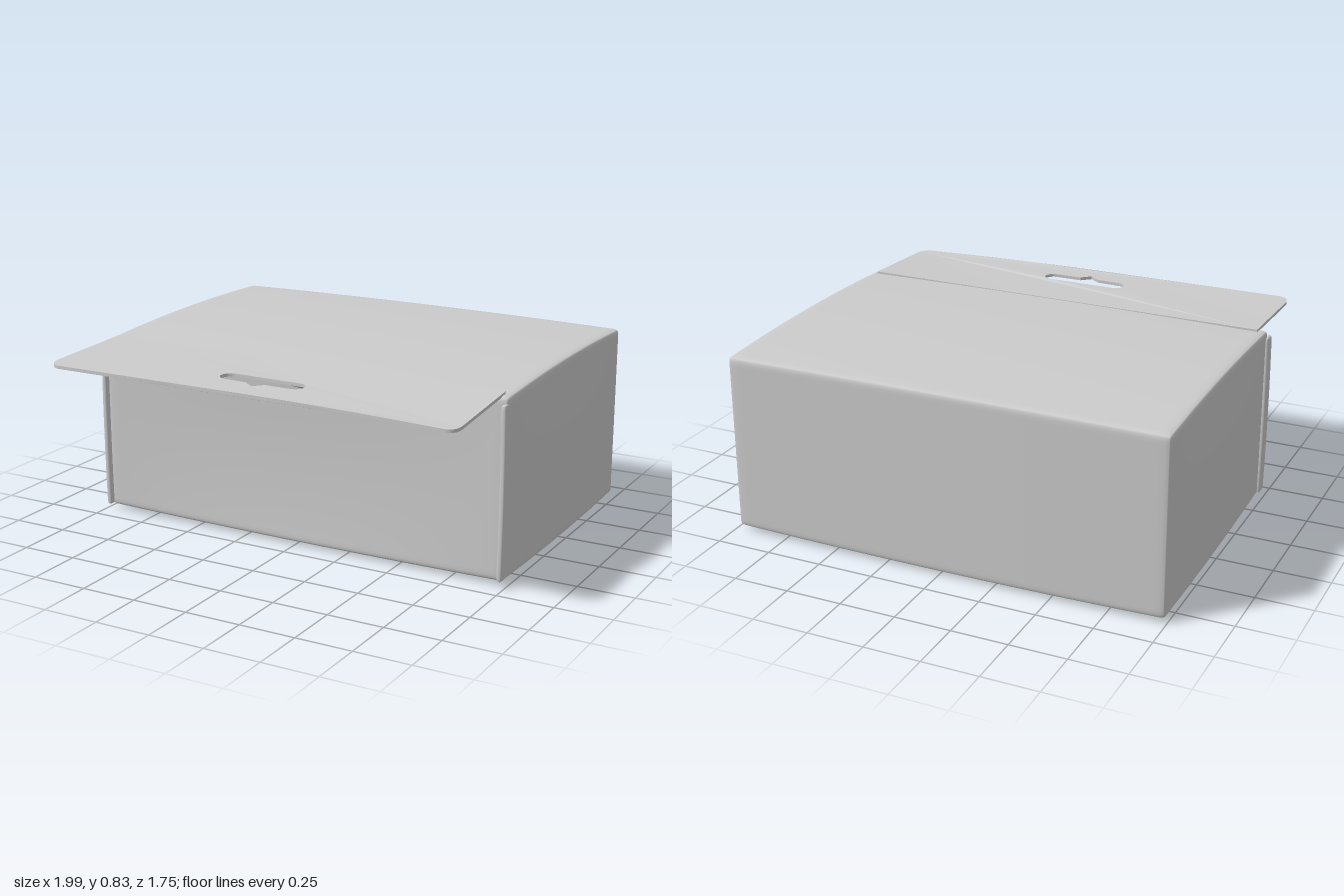
import * as THREE from 'three';
import { mergeVertices, toCreasedNormals } from 'three/addons/utils/BufferGeometryUtils.js';

const material = new THREE.MeshStandardMaterial({ color: 0xcccccc, side: THREE.DoubleSide });

// Box with small rounded edges and grid lines gathered near them
function softBox(w, h, d, r, n) {
  const geo = new THREE.BoxGeometry(2, 2, 2, n, n, n);
  geo.deleteAttribute('normal');
  geo.deleteAttribute('uv');
  const merged = mergeVertices(geo);
  const pos = merged.attributes.position;
  const half = new THREE.Vector3(w / 2, h / 2, d / 2);
  const core = half.clone().subScalar(r);
  const p = new THREE.Vector3();
  const inner = new THREE.Vector3();
  for (let i = 0; i < pos.count; i++) {
    p.fromBufferAttribute(pos, i);
    for (const a of ['x', 'y', 'z']) p[a] = Math.sin(p[a] * Math.PI / 2) * half[a];
    inner.copy(p).clamp(core.clone().negate(), core);
    p.sub(inner).normalize().multiplyScalar(r).add(inner);
    pos.setXYZ(i, p.x, p.y, p.z);
  }
  return merged;
}

// Moves every vertex of a geometry by a rule
function warp(geo, rule) {
  const pos = geo.attributes.position;
  const p = new THREE.Vector3();
  for (let i = 0; i < pos.count; i++) {
    rule(p.fromBufferAttribute(pos, i));
    pos.setXYZ(i, p.x, p.y, p.z);
  }
  geo.computeVertexNormals();
  return geo;
}

function add(group, name, geo) {
  const mesh = new THREE.Mesh(geo, material);
  mesh.name = name;
  group.add(mesh);
}

// Carton body: bulging lid and base, slightly skewed walls, dished front
function cartonBody() {
  return warp(softBox(1.97, 0.785, 1.275, 0.02, 28), (p) => {
    const u = p.x / 0.985, v = p.y / 0.3925, w = p.z / 0.6375;
    const bump = (a, b) => (1 - a * a) * (1 - b * b);
    p.y += 0.415;
    p.z -= 0.228;
    if (v > 0) p.y += v * (0.018 * (1 - w * w) - 0.004 * w + 0.008 * (1 - u * u));
    else p.y += v * (0.013 * (1 - w * w) + 0.009 * (1 - u * u));
    p.x += (u < 0 ? 0.009 : 0.004) * w - 0.001;
    p.x += Math.sign(u) * Math.pow(Math.abs(u), 8) * 0.006 * bump(v, w);
    if (w < 0) p.z += w * (0.008 * (1 - u * u) + 0.007 * u);
    else p.z -= Math.pow(w, 8) * 0.015 * bump(u, v);
  });
}

// Hanging flap: rounded front corners and a slot with a small notch
function hangFlap() {
  const s = new THREE.Shape();
  s.moveTo(-0.94, 0.36);
  s.lineTo(0.955, 0.36);
  s.lineTo(0.965, 0.78);
  s.quadraticCurveTo(0.965, 0.845, 0.91, 0.845);
  for (let i = 1; i <= 10; i++) s.lineTo(0.91 - i * 0.178, 0.845 + i * 0.0025);
  s.quadraticCurveTo(-0.935, 0.87, -0.94, 0.79);
  s.closePath();
  const slot = new THREE.Path();
  slot.moveTo(-0.145, 0.633);
  slot.lineTo(0.17, 0.633);
  slot.absarc(0.17, 0.674, 0.041, -Math.PI / 2, Math.PI / 2, false);
  slot.lineTo(0.05, 0.715);
  slot.lineTo(0.01, 0.755);
  slot.lineTo(-0.04, 0.718);
  slot.lineTo(-0.145, 0.715);
  slot.absarc(-0.145, 0.674, 0.041, Math.PI / 2, Math.PI * 1.5, false);
  s.holes.push(slot);
  const geo = new THREE.ExtrudeGeometry(s, { depth: 0.014, bevelEnabled: false, curveSegments: 8 });
  geo.rotateX(Math.PI / 2);
  warp(geo, (p) => {
    const t = Math.max(0, (p.z - 0.36) / 0.5);
    p.y += 0.817 - 0.015 * t - 0.022 * t * Math.max(0, p.x) ** 2;
  });
  return toCreasedNormals(geo, 0.6);
}

export function createModel() {
  const model = new THREE.Group();
  model.name = 'hangingCarton';
  add(model, 'cartonBody', cartonBody());
  add(model, 'hangFlap', hangFlap());

  // Folded side panel edges standing proud of the front
  for (const side of [-1, 1]) {
    const rim = softBox(0.024, 0.75, 0.06, 0.01, 10);
    warp(rim, (p) => {
      p.x += side * 0.981 - side * 0.004 * (p.y / 0.375) ** 2;
      p.y += 0.402;
      p.z += 0.402;
    });
    add(model, side > 0 ? 'leftPanelEdge' : 'rightPanelEdge', rim);
  }
  return model;
}
